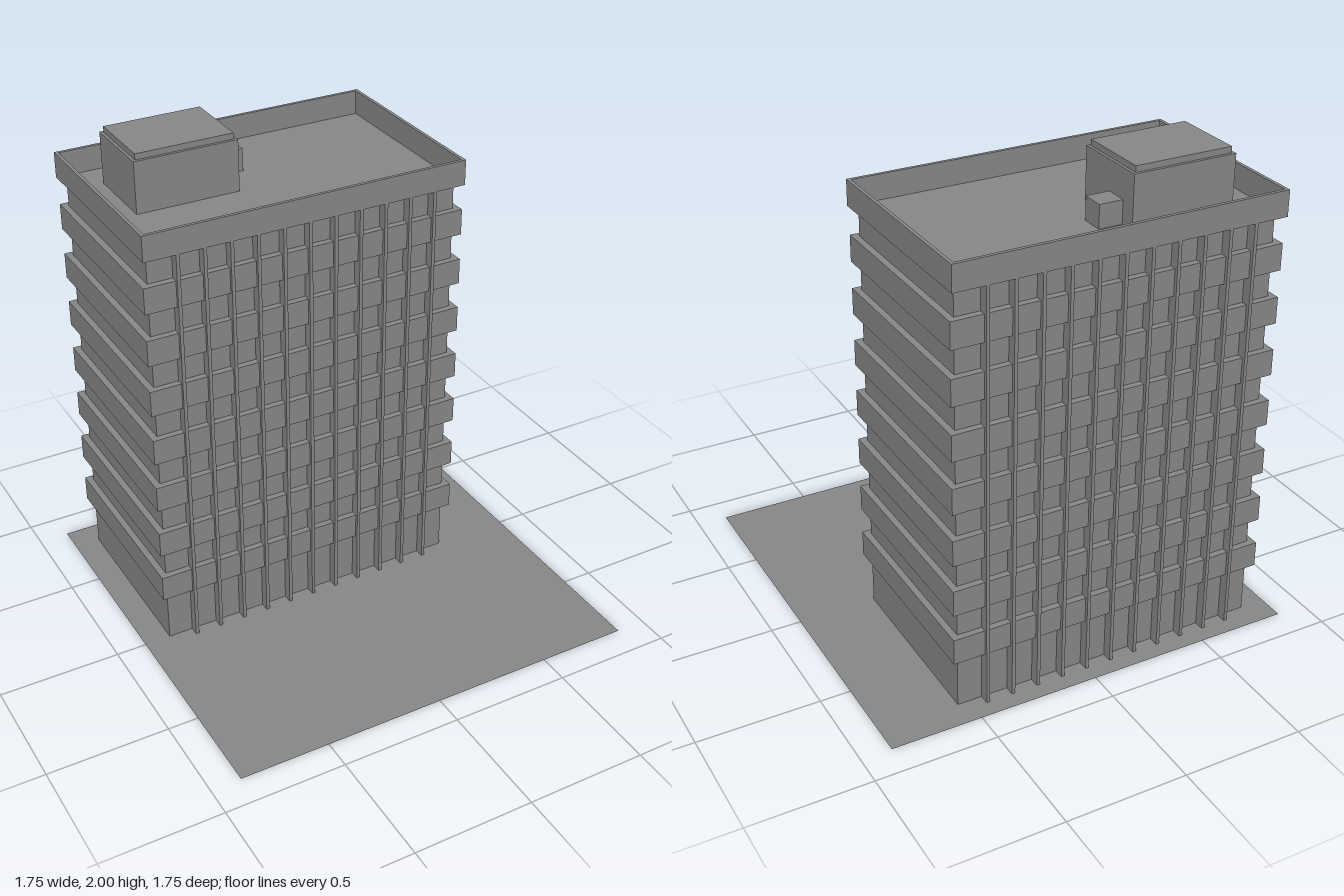
import * as THREE from 'three';

export function createModel() {
  const group = new THREE.Group();
  const material = new THREE.MeshStandardMaterial({ color: 0x888888, flatShading: true });

  // Box given by its minimum and maximum along each axis
  function addBox(name, [x0, x1], [y0, y1], [z0, z1]) {
    const mesh = new THREE.Mesh(new THREE.BoxGeometry(x1 - x0, y1 - y0, z1 - z0), material);
    mesh.position.set((x0 + x1) / 2, (y0 + y1) / 2, (z0 + z1) / 2);
    mesh.name = name;
    group.add(mesh);
  }

  // Flat plot of land
  const ground = new THREE.Mesh(
    new THREE.PlaneGeometry(1.75, 1.75).rotateX(-Math.PI / 2),
    new THREE.MeshStandardMaterial({ color: 0x888888, side: THREE.DoubleSide })
  );
  ground.name = 'ground';
  group.add(ground);

  // Main block
  const left = -0.767, right = 0.547, back = -0.766, front = 0, roofY = 1.756;
  addBox('core', [left, right], [0.001, roofY], [back, front]);

  // Projecting bands, one per storey
  const storey = 0.2195;
  for (let i = 1; i <= 7; i++) {
    addBox('floorBand', [left - 0.027, right + 0.027],
      [i * storey, (i + 0.5) * storey - 0.001], [back - 0.027, front + 0.027]);
  }

  // Vertical fins between the bays, on the front and back
  const bays = 12;
  for (let i = 1; i < bays; i++) {
    const x = left + (right - left) * i / bays;
    addBox('frontFin', [x - 0.007, x + 0.007], [0.001, roofY], [front, front + 0.04]);
    addBox('backFin', [x - 0.007, x + 0.007], [0.001, roofY], [back - 0.042, back]);
  }

  // Roof slab and the parapet standing round its edge
  const x0 = left - 0.027, x1 = right + 0.027, z0 = back - 0.042, z1 = front + 0.04;
  const wall = 0.014, top = 1.862;
  const rectangle = (Type, inset) => new Type([
    new THREE.Vector2(x0 + inset, -z1 + inset),
    new THREE.Vector2(x1 - inset, -z1 + inset),
    new THREE.Vector2(x1 - inset, -z0 - inset),
    new THREE.Vector2(x0 + inset, -z0 - inset)
  ]);
  const outline = rectangle(THREE.Shape, 0);
  outline.holes.push(rectangle(THREE.Path, wall));
  const parapet = new THREE.Mesh(
    new THREE.ExtrudeGeometry(outline, { depth: top - roofY, bevelEnabled: false }).rotateX(-Math.PI / 2),
    material
  );
  parapet.position.y = roofY;
  parapet.name = 'parapet';
  group.add(parapet);
  addBox('roofSlab', [x0 + wall, x1 - wall], [roofY, roofY + 0.004], [z0 + wall, z1 - wall]);

  // Rooftop plant room with its inset cap, and a small vent box beside it
  addBox('plantRoom', [-0.656, -0.223], [roofY, 1.975], [-0.657, -0.331]);
  addBox('plantRoomCap', [-0.644, -0.235], [1.975, 2], [-0.645, -0.343]);
  addBox('ventBox', [-0.223, -0.125], [roofY, 1.855], [-0.59, -0.496]);

  return group;
}
